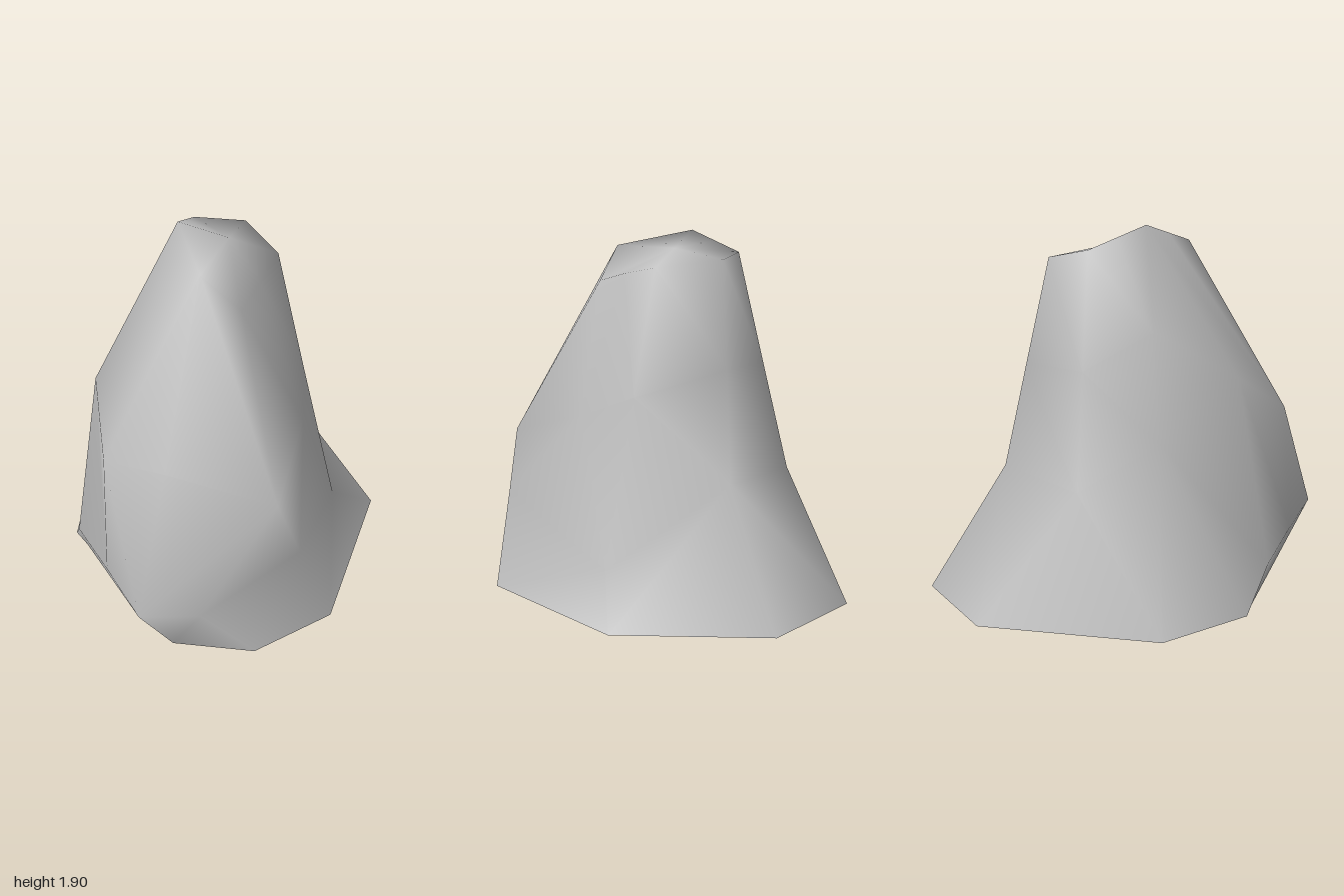
import * as THREE from 'three';

// Each column climbs the rock from ground to rim; columns run +x -> +z -> -x -> -z.
// "fold" lists the rows whose quad towards the next column folds along the other diagonal.
const columns = [
  { points: [[0.875, 0, -0.04], [0.59, 0.22, 0.10], [0.40, 1.06, 0.02], [0.26, 1.70, -0.04]], fold: [0] },
  { points: [[0.41, 0, 0.82], [0.224, 0.49, 0.835], [0.33, 0.94, 0.35], [0.13, 1.67, 0.18]], fold: [0] },
  { points: [[-0.03, 0, 1.0], [-0.30, 0.27, 0.975], [0.10, 0.81, 0.85], [0, 1.63, 0.38]], fold: [0, 1] },
  { points: [[-0.43, 0, 0.88], [-0.60, 0.33, 0.99], [-0.42, 0.97, 0.72], [-0.19, 1.82, 0.36]], fold: [0, 2] },
  { points: [[-0.825, 0, 0.07], [-0.73, 0.28, 0.58], [-0.70, 0.95, 0.54], [-0.215, 1.86, 0.15]], fold: [] },
  { points: [[-0.88, 0, -0.04], [-0.86, 0.21, 0.17], [-0.70, 1.15, 0.11], [-0.24, 1.90, -0.06]], fold: [1, 2] },
  { points: [[-0.77, 0, -0.57], [-0.53, 0.86, -0.30], [-0.385, 1.38, -0.18], [-0.18, 1.84, -0.21]], fold: [] },
  { points: [[0.03, 0, -1.0], [-0.26, 0.63, -0.60], [-0.19, 1.20, -0.48], [-0.12, 1.78, -0.36]], fold: [] },
  { points: [[0.63, 0, -0.79], [0.37, 0.65, -0.48], [0.26, 1.20, -0.42], [0.15, 1.74, -0.36]], fold: [0] },
];
const summit = [0.01, 1.80, -0.05];

function rockGeometry() {
  const n = columns.length, rows = columns[0].points.length;
  const positions = [...columns.flatMap((c) => c.points.flat()), ...summit];
  const index = [];
  columns.forEach(({ fold }, i) => {
    const cur = i * rows, next = ((i + 1) % n) * rows;
    // flank
    for (let r = 0; r < rows - 1; r++) {
      const a = cur + r, b = next + r, c = b + 1, d = a + 1;
      if (fold.includes(r)) index.push(b, a, d, b, d, c);
      else index.push(a, d, c, a, c, b);
    }
    // cap, folded along the ridge through the summit
    index.push(n * rows, next + rows - 1, cur + rows - 1);
  });
  const geometry = new THREE.BufferGeometry();
  geometry.setAttribute('position', new THREE.Float32BufferAttribute(positions, 3));
  geometry.setIndex(index);
  geometry.computeVertexNormals();
  return geometry;
}

export function createModel() {
  const group = new THREE.Group();
  group.name = 'boulder';

  // Open underneath, so both sides show
  const stone = new THREE.MeshStandardMaterial({ color: 0xbcbcbc, side: THREE.DoubleSide });
  stone.name = 'stone grey';

  const rock = new THREE.Mesh(rockGeometry(), stone);
  rock.name = 'rock';
  group.add(rock);
  return group;
}
